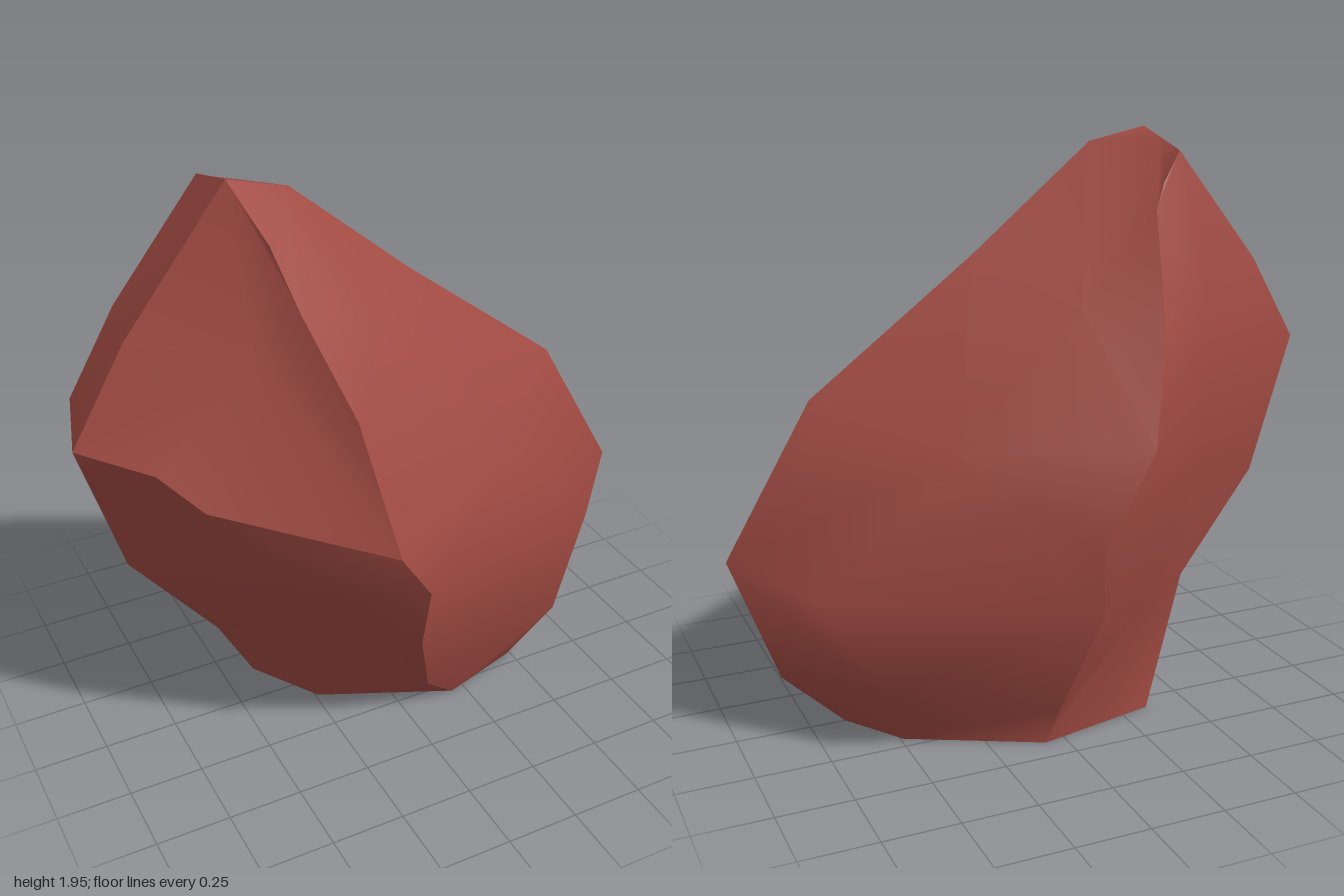
import * as THREE from 'three';
import { mergeVertices } from 'three/addons/utils/BufferGeometryUtils.js';

// Running length along a column of points, scaled to 0..1
function stations(col) {
  const s = [0];
  for (let i = 1; i < col.length; i++) s.push(s[i - 1] + Math.hypot(...col[i].map((v, k) => v - col[i - 1][k])));
  return s.map((v) => v / s[s.length - 1]);
}

const same = (p, q) => p.every((v, k) => v === q[k]);

// Triangles between two columns running top to bottom, a left of b seen from outside
function zip(a, b) {
  const sa = stations(a), sb = stations(b), out = [];
  const tri = (p, q, r) => { if (!same(p, q) && !same(q, r) && !same(p, r)) out.push(...p, ...q, ...r); };
  let i = 0, j = 0;
  while (i < a.length - 1 || j < b.length - 1) {
    const stepA = j === b.length - 1 || (i < a.length - 1 && sa[i + 1] <= sb[j + 1]);
    if (stepA) { tri(a[i], a[i + 1], b[j]); i++; }
    else { tri(a[i], b[j + 1], b[j]); j++; }
  }
  return out;
}

export function createModel() {
  const rock = new THREE.Group();
  rock.name = 'rock';
  // The shell is open underneath, so its inside shows too
  const stone = new THREE.MeshStandardMaterial({ color: 0xa04a42, side: THREE.DoubleSide });
  stone.name = 'red stone';

  // One facet: smooth inside, sharp where it meets its neighbours
  function addFacet(name, ...columns) {
    const p = [];
    for (let i = 0; i < columns.length - 1; i++) p.push(...zip(columns[i], columns[i + 1]));
    let g = new THREE.BufferGeometry();
    g.setAttribute('position', new THREE.Float32BufferAttribute(p, 3));
    g = mergeVertices(g);
    g.computeVertexNormals();
    const mesh = new THREE.Mesh(g, stone);
    mesh.name = name;
    rock.add(mesh);
  }

  const peak = [-0.45, 1.945, -0.02];

  // Right-hand edge, over the top and down to the base
  const edge = [peak, [-0.26, 1.9, 0], [0.16, 1.55, 0], [0.71, 1.13, 0], [1, 0.63, 0], [0.84, 0.2, 0], [0.63, 0, 0]];

  // Front ridge, upper and lower parts, and the middle of the face beside it
  const ridgeUp = [peak, [-0.42, 1.82, 0.22], [-0.36, 1.62, 0.3], [-0.28, 1.35, 0.5], [-0.2, 0.92, 0.63]];
  const ridgeLow = [[-0.09, 0.75, 0.62], [-0.05, 0.46, 0.5], [0.07, 0.12, 0.34], [0.2, 0, 0.29]];
  const frontMid = [peak, [-0.32, 1.83, 0.14], [-0.06, 1.48, 0.26], [0.36, 1, 0.34], [0.78, 0.55, 0.22], [0.6, 0.25, 0.31], [0.49, 0, 0.2]];

  // Back ridge, with the middles of the faces on both sides
  const backRidge = [[-0.45, 1.885, -0.26], [-0.38, 1.79, -0.29], [-0.34, 1.71, -0.32], [-0.28, 1.35, -0.51],
    [-0.19, 1.03, -0.63], [-0.02, 0.72, -0.63], [-0.04, 0.5, -0.6], [0.03, 0.12, -0.43], [0.07, 0, -0.41]];
  const backMid = [[-0.45, 1.915, -0.14], [-0.08, 1.42, -0.33], [0.34, 1, -0.37], [0.78, 0.55, -0.22], [0.6, 0.25, -0.31], [0.49, 0, -0.2]];
  const backLeftMid = [backRidge[0], [-0.5, 1.4, -0.38], [-0.45, 0.93, -0.44], [-0.25, 0.4, -0.42], [-0.15, 0, -0.363]];

  // Left-hand edge and the crease behind it
  const leftTip = [-1, 1.19, 0.02];
  const leftUp = [peak, [-0.81, 1.5, 0], leftTip];
  const leftLow = [leftTip, [-0.86, 0.72, 0], [-0.57, 0.36, 0], [-0.39, 0, -0.15]];
  const creaseTip = [-0.93, 1.24, -0.22];
  const creaseUp = [backRidge[0], [-0.76, 1.52, -0.23], creaseTip];
  const creaseLow = [creaseTip, [-0.75, 0.8, -0.28], [-0.5, 0.45, -0.27], [-0.35, 0, -0.32]];

  // Overhang line across the front left, with the faces above and below it
  const overhang = [[-0.82, 1.18, 0.25], [-0.7, 1.06, 0.33], [-0.2, 0.92, 0.63]];
  const brow = [peak, [-0.5, 1.5, 0.24], overhang[2]];
  const hollow = [leftTip, [-0.62, 0.93, 0.36], [-0.28, 0.72, 0.52], [-0.24, 0, 0.09]];

  addFacet('frontRightFace', [...ridgeUp, ...ridgeLow], frontMid, edge);
  addFacet('frontUpperLeftFace', [...leftUp, ...overhang], brow, ridgeUp);
  addFacet('frontUndercut', leftLow, hollow, [leftTip, ...overhang, ...ridgeLow]);
  addFacet('backRightFace', edge, backMid, backRidge);
  addFacet('backLeftFace', backRidge, backLeftMid, [...creaseUp, ...creaseLow.slice(1)]);
  addFacet('leftUpperStrip', creaseUp, leftUp);
  addFacet('leftLowerStrip', creaseLow, leftLow);

  return rock;
}
